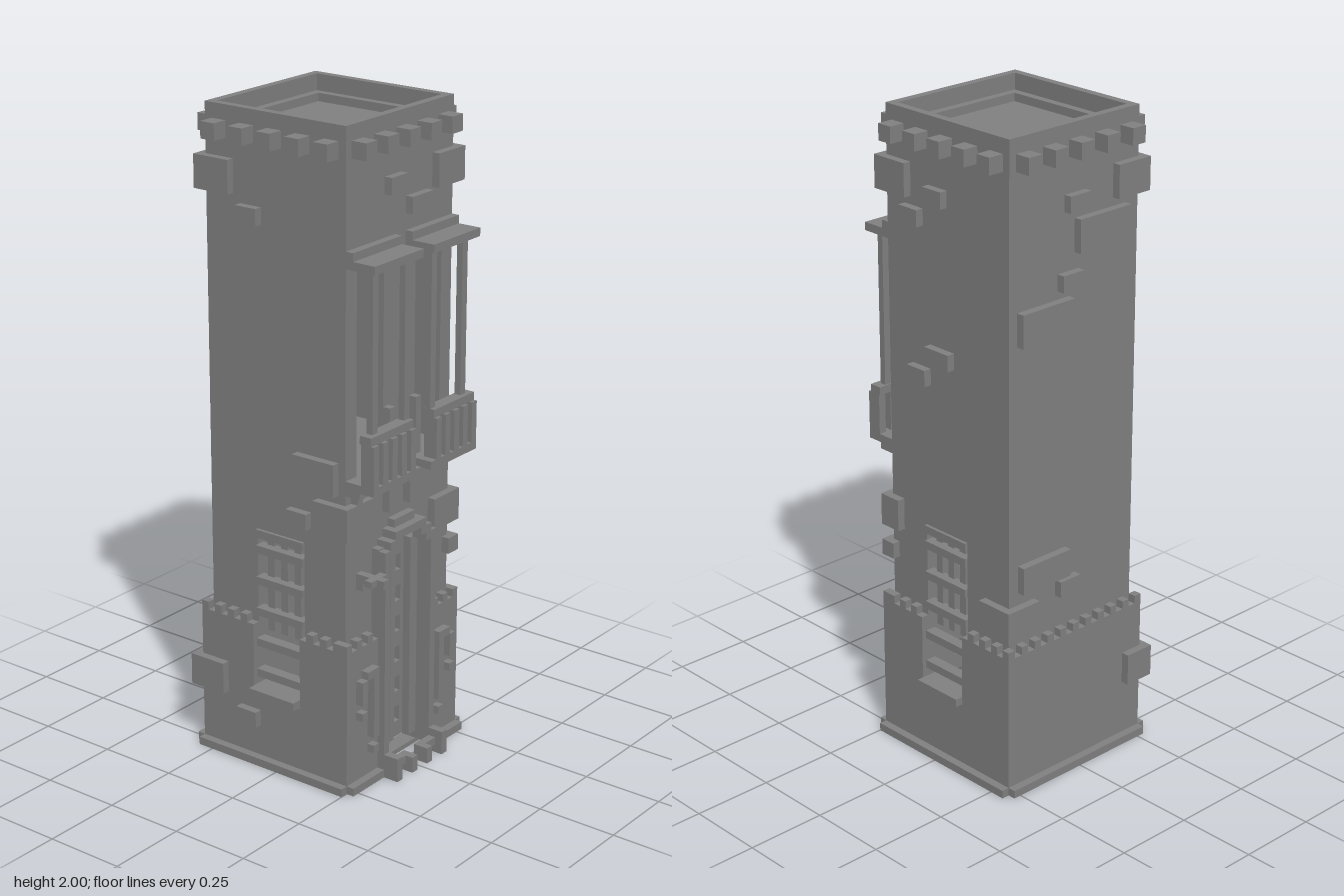
import * as THREE from 'three';

export function createModel() {
  const model = new THREE.Group();
  model.name = 'stoneTower';
  const stone = new THREE.MeshStandardMaterial({ color: 0x808080 });
  stone.name = 'grey stone';

  const add = (name, geo) => {
    const mesh = new THREE.Mesh(geo, stone);
    mesh.name = name;
    model.add(mesh);
    return mesh;
  };
  // Block given by its limits on each axis
  const box = (name, x0, x1, y0, y1, z0, z1) =>
    add(name, new THREE.BoxGeometry(x1 - x0, y1 - y0, z1 - z0)
      .translate((x0 + x1) / 2, (y0 + y1) / 2, (z0 + z1) / 2));
  // The same block on both sides of x = 0
  const pair = (name, x0, x1, ...rest) => {
    box(name, x0, x1, ...rest);
    box(name, -x1, -x0, ...rest);
  };
  const rect = (C, a0, a1, y0, y1) => {
    const s = new C();
    s.moveTo(a0, y0); s.lineTo(a1, y0); s.lineTo(a1, y1); s.lineTo(a0, y1);
    s.closePath();
    return s;
  };
  // Wall with rectangular holes, extruded along z
  const slab = ([a0, a1, y0, y1], holes, depth) => {
    const s = rect(THREE.Shape, a0, a1, y0, y1);
    holes.forEach(h => s.holes.push(rect(THREE.Path, ...h)));
    return new THREE.ExtrudeGeometry(s, { depth, bevelEnabled: false });
  };
  const sideSlab = (name, outline, holes, depth, x) =>
    add(name, slab(outline, holes, depth).rotateY(-Math.PI / 2).translate(x, 0, 0));

  // Hollow shaft: doorway and balcony bays in front, barred windows at the sides
  const win = [-0.1, 0.075, 0.225, 0.75];
  add('frontWall', slab([-0.25, 0.25, 0.01, 1.95],
    [[-0.1, 0.1, 0.025, 0.725], [-0.2, -0.075, 0.975, 1.6], [0.075, 0.2, 0.975, 1.6]], 0.05)
    .translate(0, 0, 0.175));
  box('backWall', -0.25, 0.25, 0.01, 1.95, -0.275, -0.225);
  sideSlab('rightWall', [-0.225, 0.175, 0.01, 1.95], [win], 0.05, -0.2);
  sideSlab('leftWall', [-0.225, 0.175, 0.01, 1.95], [win], 0.05, 0.25);
  box('roofFloor', -0.2, 0.2, 1.88, 1.925, -0.225, 0.175);
  box('upperFloor', -0.2, 0.2, 0.92, 0.975, -0.225, 0.175);

  // Parapet rim and the ring of stone brackets below it
  box('parapet', -0.25, 0.25, 1.95, 2, 0.2, 0.225);
  box('parapet', -0.25, 0.25, 1.95, 2, -0.275, -0.25);
  pair('parapet', 0.225, 0.25, 1.95, 2, -0.25, 0.2);
  for (let i = -2; i <= 2; i++) {
    const c = i * 0.1;
    box('bracket', c - 0.025, c + 0.025, 1.905, 1.955, 0.225, 0.275);
    box('bracket', c - 0.025, c + 0.025, 1.905, 1.955, -0.325, -0.275);
    pair('bracket', 0.25, 0.3, 1.905, 1.955, c - 0.05, c);
  }

  // Thick base with toothed top edge and plinth
  const baseWin = [-0.1, 0.075, 0.225, 0.45];
  for (const x of [-0.25, 0.275]) {
    sideSlab('baseSide', [-0.275, 0.225, 0, 0.225], [], 0.025, x);
    sideSlab('baseSide', [-0.275, baseWin[0], 0.225, 0.45], [], 0.025, x);
    sideSlab('baseSide', [baseWin[1], 0.225, 0.225, 0.45], [], 0.025, x);
  }
  box('baseBack', -0.275, 0.275, 0, 0.45, -0.3, -0.275);
  pair('baseFront', 0.125, 0.275, 0, 0.45, 0.225, 0.25);
  for (let i = 0; i < 11; i++) {
    const a = -0.275 + i * 0.0525;
    box('baseTooth', a, a + 0.025, 0.45, 0.475, -0.3, -0.275);
  }
  for (let i = 0; i < 3; i++) {
    const a = 0.25 - i * 0.05;
    pair('baseTooth', a, a + 0.025, 0.45, 0.475, 0.225, 0.25);
    pair('baseTooth', 0.25, 0.275, 0.45, 0.475, 0.2 - i * 0.05, 0.225 - i * 0.05);
  }
  for (let i = 0; i < 4; i++)
    pair('baseTooth', 0.25, 0.275, 0.45, 0.475, -0.3 + i * 0.05, -0.275 + i * 0.05);
  pair('plinth', 0.275, 0.3, 0, 0.025, -0.3, 0.25);
  box('plinth', -0.275, 0.275, 0, 0.025, -0.325, -0.3);
  pair('plinth', 0.125, 0.275, 0, 0.025, 0.25, 0.275);

  // Side windows: grille above, ladder-like slats below
  for (const z of [-0.0625, -0.0125, 0.0375])
    pair('windowBar', 0.215, 0.235, 0.425, 0.75, z - 0.0125, z + 0.0125);
  for (const y of [0.675, 0.575, 0.475, 0.375, 0.275])
    pair('windowSlat', 0.225, 0.26, y, y + 0.025, -0.1, 0.075);
  pair('windowHead', 0.2, 0.26, 0.725, 0.75, -0.1, 0.075);
  pair('windowSill', 0.2, 0.3, 0.225, 0.25, -0.1, 0.07);

  // Door panel pierced by two columns of slots
  const slots = [];
  for (let i = 0; i < 6; i++)
    for (const x of [-0.05, 0.025]) slots.push([x, x + 0.025, 0.1 + i * 0.1, 0.15 + i * 0.1]);
  add('doorPanel', slab([-0.1, 0.1, 0.05, 0.725], slots, 0.025).translate(0, 0, 0.175));
  pair('doorRib', 0.065, 0.1, 0.05, 0.7, 0.2, 0.225);
  box('doorRib', -0.01, 0.01, 0.05, 0.7, 0.2, 0.21);

  // Stepped door surround
  pair('doorJamb', 0.1, 0.125, 0.025, 0.7, 0.2, 0.275);
  pair('archStep', 0.075, 0.125, 0.7, 0.725, 0.225, 0.275);
  pair('archStep', 0.05, 0.1, 0.725, 0.75, 0.225, 0.275);
  box('archTop', -0.075, 0.075, 0.75, 0.775, 0.225, 0.275);
  box('archKey', -0.05, 0.05, 0.775, 0.8, 0.225, 0.25);
  pair('archEar', 0.1, 0.125, 0.7, 0.73, 0.225, 0.25);
  box('jambStep', 0.125, 0.15, 0.475, 0.55, 0.225, 0.25);

  // Doorstep rails
  pair('stepRail', 0.1, 0.125, 0, 0.05, 0.25, 0.325);
  pair('stepRail', 0.025, 0.1, 0.025, 0.05, 0.275, 0.3);
  pair('stepPost', 0.025, 0.05, 0, 0.05, 0.275, 0.325);
  pair('stepPost', 0.1, 0.125, 0.05, 0.075, 0.275, 0.325);

  // Raised ornaments beside the door
  pair('ornamentBar', 0.15, 0.175, 0.15, 0.35, 0.25, 0.275);
  pair('ornamentHook', 0.15, 0.205, 0.35, 0.375, 0.25, 0.275);
  pair('ornamentStub', 0.205, 0.23, 0.275, 0.35, 0.25, 0.275);
  pair('ornamentStud', 0.205, 0.23, 0.225, 0.25, 0.25, 0.275);
  pair('ornamentStud', 0.15, 0.175, 0.1, 0.125, 0.25, 0.275);

  // Lamp hook
  box('lampArm', -0.2, -0.175, 0.65, 0.675, 0.225, 0.325);
  box('lampCross', -0.225, -0.15, 0.655, 0.675, 0.275, 0.3);
  box('lampDrop', -0.2, -0.175, 0.625, 0.65, 0.225, 0.25);

  // Twin balconies
  for (const s of [-1, 1]) {
    const b = (name, x0, x1, ...rest) =>
      s > 0 ? box(name, x0, x1, ...rest) : box(name, -x1, -x0, ...rest);
    b('balconyFloor', 0.025, 0.25, 0.95, 0.975, 0.225, 0.325);
    b('balconyCorbel', 0.025, 0.25, 0.93, 0.95, 0.225, 0.275);
    b('balconyBracket', 0.025, 0.075, 0.83, 0.93, 0.225, 0.25);
    b('balconyBracket', 0.2, 0.225, 0.9, 0.93, 0.225, 0.25);
    b('balconyRail', 0.05, 0.25, 1.1, 1.125, 0.275, 0.315);
    for (let i = 0; i < 5; i++)
      b('baluster', 0.05 + i * 0.044, 0.074 + i * 0.044, 0.975, 1.1, 0.28, 0.325);
    for (const x of [0.05, 0.2])
      b('balconyPillar', x, x + 0.025, 1.125, 1.6, 0.28, 0.3);
    b('balconyRoof', 0.025, 0.25, 1.6, 1.625, 0.225, 0.325);
    b('balconyRoofTrim', 0.025, 0.25, 1.625, 1.65, 0.225, 0.25);
    b('bayFoot', 0.05, 0.075, 0.975, 1.15, 0.225, 0.25);
  }

  // Protruding stones: corners first, then each face
  const stones = [
    [0.15, 0.275, 1.75, 1.85, 0.125, 0.25],
    [0.15, 0.275, 0.7, 0.8, 0.175, 0.25],
    [-0.275, -0.15, 0.8, 0.9, 0.125, 0.25],
    [-0.275, -0.15, 1.75, 1.85, -0.3, -0.175],
    [0.15, 0.275, 0.5, 0.6, -0.3, -0.175],
    [-0.3, -0.2, 0.2, 0.3, -0.325, -0.2],
    [-0.075, 0, 1.775, 1.825, 0.2, 0.25],
    [0.025, 0.125, 1.7, 1.75, 0.2, 0.25],
    [0.225, 0.275, 1.75, 1.8, -0.025, 0.05],
    [0.225, 0.275, 1.675, 1.725, 0.075, 0.15],
    [0.225, 0.275, 1.275, 1.325, -0.05, 0.05],
    [0.225, 0.275, 1.2, 1.25, 0.05, 0.125],
    [0.225, 0.275, 0.6, 0.65, 0.2, 0.25],
    [-0.275, -0.225, 1.675, 1.725, -0.15, -0.075],
    [-0.275, -0.225, 0.925, 1.025, 0.05, 0.2],
    [-0.275, -0.225, 0.8, 0.85, 0.025, 0.1],
    [-0.3, -0.25, 0.125, 0.175, -0.15, -0.075],
    [-0.04, 0.04, 1.75, 1.8, -0.3, -0.25],
    [-0.2, 0, 1.625, 1.725, -0.3, -0.25],
    [-0.015, 0.065, 1.525, 1.575, -0.3, -0.25],
    [0.02, 0.22, 1.4, 1.5, -0.3, -0.25],
    [0.025, 0.215, 0.64, 0.725, -0.3, -0.25],
    [-0.015, 0.065, 0.58, 0.63, -0.3, -0.25],
  ];
  stones.forEach(s => box('protrudingStone', ...s));

  return model;
}
